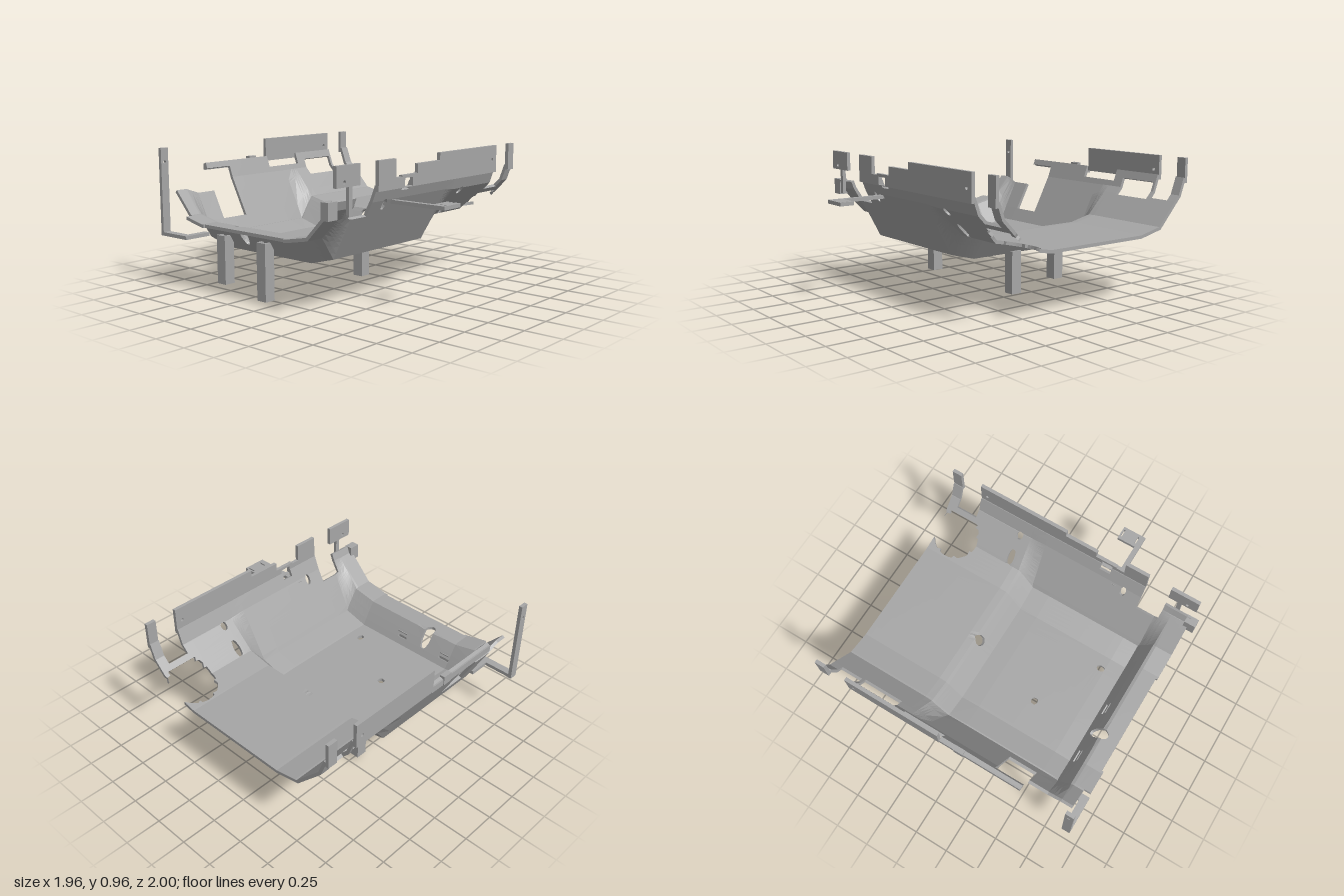
import * as THREE from 'three';

const metal = new THREE.MeshStandardMaterial({ color: 0xa6a6a6, flatShading: true });
metal.name = 'grey metal';

// Pan height: a shallow and a deep section share the same z breaks
const ZB = [-0.985, -0.94, -0.75, -0.57, 0.22, 0.405, 0.6, 0.64];
const SHALLOW = [0.82, 0.70, 0.495, 0.455, 0.455, 0.49, 0.69, 0.8];
const DEEP = [0.82, 0.70, 0.34, 0.29, 0.29, 0.34, 0.70, 0.8];
const XB = [-0.93, -0.8, -0.7, 0.2, 0.32, 0.98];
const THICK = 0.022;

function height(x, z) {
  let i = 0;
  while (i < ZB.length - 2 && z > ZB[i + 1]) i++;
  const t = (z - ZB[i]) / (ZB[i + 1] - ZB[i]);
  const w = Math.max(0, Math.min(1, (x + 0.8) / 0.1, (0.32 - x) / 0.12));
  const at = (p) => p[i] + (p[i + 1] - p[i]) * t;
  return at(SHALLOW) * (1 - w) + at(DEEP) * w;
}

// Rectangular cut-outs: x0, x1, z0, z1
const CUTS = [
  [-0.93, -0.55, -0.985, -0.9], [-0.93, -0.88, -0.9, -0.73],
  [-0.55, -0.34, -0.97, -0.8], [0.05, 0.36, -0.985, -0.955],
  [0.44, 0.73, -0.965, -0.89], [0.75, 0.91, -0.985, -0.9],
  [0.75, 0.91, 0.55, 0.64], [-0.73, -0.56, 0.55, 0.64],
  [-0.93, -0.73, 0.62, 0.64], [-0.3, -0.22, 0.622, 0.64],
  [-0.74, -0.73, -0.57, -0.48], [-0.74, -0.73, -0.18, -0.1],
  [-0.93, -0.918, -0.55, 0.2],
];
// Round cut-outs: centre, radii, snapping range, furthest z
const ROUND = (x, z, rx, rz = rx) => ({ x, z, rx, rz, lo: 0.55, hi: 1.15, zMax: 1 });
const HOLES = [
  ROUND(-0.26, -0.33, 0.025), ROUND(-0.54, 0.12, 0.03, 0.022),
  ROUND(-0.785, -0.33, 0.055, 0.038), ROUND(0.295, -0.18, 0.027, 0.038),
  ROUND(0.4, 0.58, 0.024), ROUND(0.4, 0.45, 0.025, 0.05), ROUND(-0.43, 0.585, 0.02),
  { x: 0.835, z: 0.4, rx: 0.165, rz: 0.165, lo: 0.91, hi: 1.09, zMax: 0.52 },
];

function gridLines(values) {
  const out = [];
  for (const v of values.sort((a, b) => a - b)) {
    if (!out.length || v - out[out.length - 1] > 0.003) out.push(v);
  }
  return out;
}

function panGeometry() {
  const xs = [...XB], zs = [...ZB];
  for (const [x0, x1, z0, z1] of CUTS) { xs.push(x0, x1); zs.push(z0, z1); }
  for (const h of HOLES) {
    const steps = h.rx > 0.1 ? [-1, -0.83, -0.66, -0.5, -0.33, -0.16, 0, 0.16, 0.33, 0.5, 0.66, 0.83] : [-1, -0.41, 0.41, 1];
    for (const k of steps) {
      xs.push(Math.min(0.98, h.x + k * h.rx));
      zs.push(Math.min(h.zMax, h.z + k * h.rz));
    }
  }
  zs.push(0.52);
  const X = gridLines(xs), Z = gridLines(zs);

  // Grid points, pulled onto the rims of the round holes
  const pts = X.map((x) => Z.map((z) => {
    let px = x, pz = z;
    for (const h of HOLES) {
      const r = Math.hypot((x - h.x) / h.rx, (z - h.z) / h.rz);
      if (r > h.lo && r < h.hi && z < h.zMax - 0.001) {
        px = h.x + (x - h.x) / r;
        pz = h.z + (z - h.z) / r;
      }
    }
    px = Math.min(px, 0.98);
    const e = 0.001;
    const n = new THREE.Vector3(
      (height(px - e, pz) - height(px + e, pz)) / (2 * e), 1,
      (height(px, pz - e) - height(px, pz + e)) / (2 * e)).normalize();
    n.x *= px > 0.979 || px < -0.929 ? 0 : 1;
    const outer = new THREE.Vector3(px, height(px, pz), pz);
    return { outer, inner: outer.clone().addScaledVector(n, THICK) };
  }));

  const keep = (i, j) => {
    if (i < 0 || j < 0 || i >= X.length - 1 || j >= Z.length - 1) return false;
    const cx = (X[i] + X[i + 1]) / 2, cz = (Z[j] + Z[j + 1]) / 2;
    if (CUTS.some(([a, b, c, d]) => cx > a && cx < b && cz > c && cz < d)) return false;
    const m = new THREE.Vector3();
    for (const [a, b] of [[0, 0], [1, 0], [1, 1], [0, 1]]) m.addScaledVector(pts[i + a][j + b].outer, 0.25);
    return !HOLES.some((h) => cz < h.zMax && Math.hypot((m.x - h.x) / h.rx, (m.z - h.z) / h.rz) < 0.97);
  };

  const pos = [];
  const quad = (a, b, c, d) => { for (const p of [a, b, c, a, c, d]) pos.push(p.x, p.y, p.z); };
  for (let i = 0; i < X.length - 1; i++) {
    for (let j = 0; j < Z.length - 1; j++) {
      if (!keep(i, j)) continue;
      const c = [pts[i][j], pts[i + 1][j], pts[i + 1][j + 1], pts[i][j + 1]];
      quad(...c.map((p) => p.outer));
      quad(...c.map((p) => p.inner).reverse());
      [[0, -1], [1, 0], [0, 1], [-1, 0]].forEach(([di, dj], k) => {
        if (keep(i + di, j + dj)) return;
        const p = c[k], q = c[(k + 1) % 4];
        quad(p.outer, p.inner, q.inner, q.outer);
      });
    }
  }
  const g = new THREE.BufferGeometry();
  g.setAttribute('position', new THREE.Float32BufferAttribute(pos, 3));
  g.computeVertexNormals();
  return g;
}

const rect = (Type, x0, x1, y0, y1) => new Type().moveTo(x0, y0).lineTo(x1, y0).lineTo(x1, y1).lineTo(x0, y1).closePath();

export function createModel() {
  const model = new THREE.Group();
  model.name = 'skidPan';
  const add = (name, geometry) => {
    const mesh = new THREE.Mesh(geometry, metal);
    mesh.name = name;
    model.add(mesh);
    return mesh;
  };
  const box = (name, x0, x1, y0, y1, z0, z1) =>
    add(name, new THREE.BoxGeometry(x1 - x0, y1 - y0, z1 - z0)
      .translate((x0 + x1) / 2, (y0 + y1) / 2, (z0 + z1) / 2));
  // Upright plate with bolt holes and windows
  const plate = (name, shape, z, holes = [], depth = 0.025) => {
    for (const [x, y] of holes) shape.holes.push(new THREE.Path().absarc(x, y, 0.012, 0, Math.PI * 2, true));
    return add(name, new THREE.ExtrudeGeometry(shape, { depth, bevelEnabled: false, curveSegments: 8 }).translate(0, 0, z));
  };

  add('pan', panGeometry());

  // Front flange with stepped top
  const front = new THREE.Shape([
    [-0.56, 0.77], [0.75, 0.77], [0.75, 0.96], [0.07, 0.96], [0.07, 0.91], [-0.17, 0.91],
    [-0.17, 0.85], [-0.33, 0.85], [-0.33, 0.84], [-0.39, 0.84], [-0.39, 0.96], [-0.56, 0.96],
  ].map((p) => new THREE.Vector2(...p)));
  front.holes.push(rect(THREE.Path, -0.3, -0.22, 0.775, 0.83));
  plate('frontFlange', front, 0.625, [[0.7, 0.86]]);

  // Back flange and the low edge beside it
  plate('backFlange', rect(THREE.Shape, 0.05, 0.75, 0.79, 0.96), -1, [[0.7, 0.86]]);
  box('backEdge', -0.55, 0.05, 0.775, 0.82, -0.995, -0.97);
  box('backEdgeLug', -0.13, -0.06, 0.775, 0.84, -1, -0.965);

  // Corner tabs on the left side
  box('frontTab', 0.91, 0.98, 0.77, 0.96, 0.625, 0.65);
  box('backTab', 0.91, 0.98, 0.79, 0.96, -1, -0.975);

  // Front right bracket on a stem
  plate('cornerPlate', rect(THREE.Shape, -0.94, -0.73, 0.83, 0.96), 0.625, [[-0.87, 0.86]]);
  box('cornerStem', -0.83, -0.8, 0.66, 0.83, 0.625, 0.65);
  box('cornerBlock', -0.98, -0.9, 0.64, 0.75, 0.56, 0.62);

  // Back right post and its bent foot bar
  plate('post', rect(THREE.Shape, -0.935, -0.875, 0.35, 0.96), -1, [[-0.905, 0.86]]);
  box('postBar', -0.935, -0.88, 0.35, 0.375, -0.976, -0.73);
  box('postCrossBar', -0.88, -0.73, 0.35, 0.375, -0.78, -0.73);

  // Forward arm with slotted end plate
  box('arm', -0.37, -0.335, 0.67, 0.695, 0.57, 1);
  const pad = rect(THREE.Shape, -0.335, -0.2, -1, -0.9);
  for (const x of [-0.325, -0.215]) pad.holes.push(rect(THREE.Path, x - 0.005, x + 0.005, -0.98, -0.925));
  add('armPlate', new THREE.ExtrudeGeometry(pad, { depth: 0.025, bevelEnabled: false })
    .rotateX(-Math.PI / 2).translate(0, 0.67, 0));

  // Four hollow square legs
  for (const [x, top] of [[-0.77, 0.39], [0.19, 0.305]]) {
    for (const [z, bottom] of [[-0.13, 0], [-0.52, 0.055]]) {
      const tube = rect(THREE.Shape, -0.04, 0.04, -0.04, 0.04);
      tube.holes.push(rect(THREE.Path, -0.025, 0.025, -0.025, 0.025));
      add('leg', new THREE.ExtrudeGeometry(tube, { depth: top - bottom, bevelEnabled: false })
        .rotateX(-Math.PI / 2).translate(x, bottom, z));
    }
  }
  return model;
}
